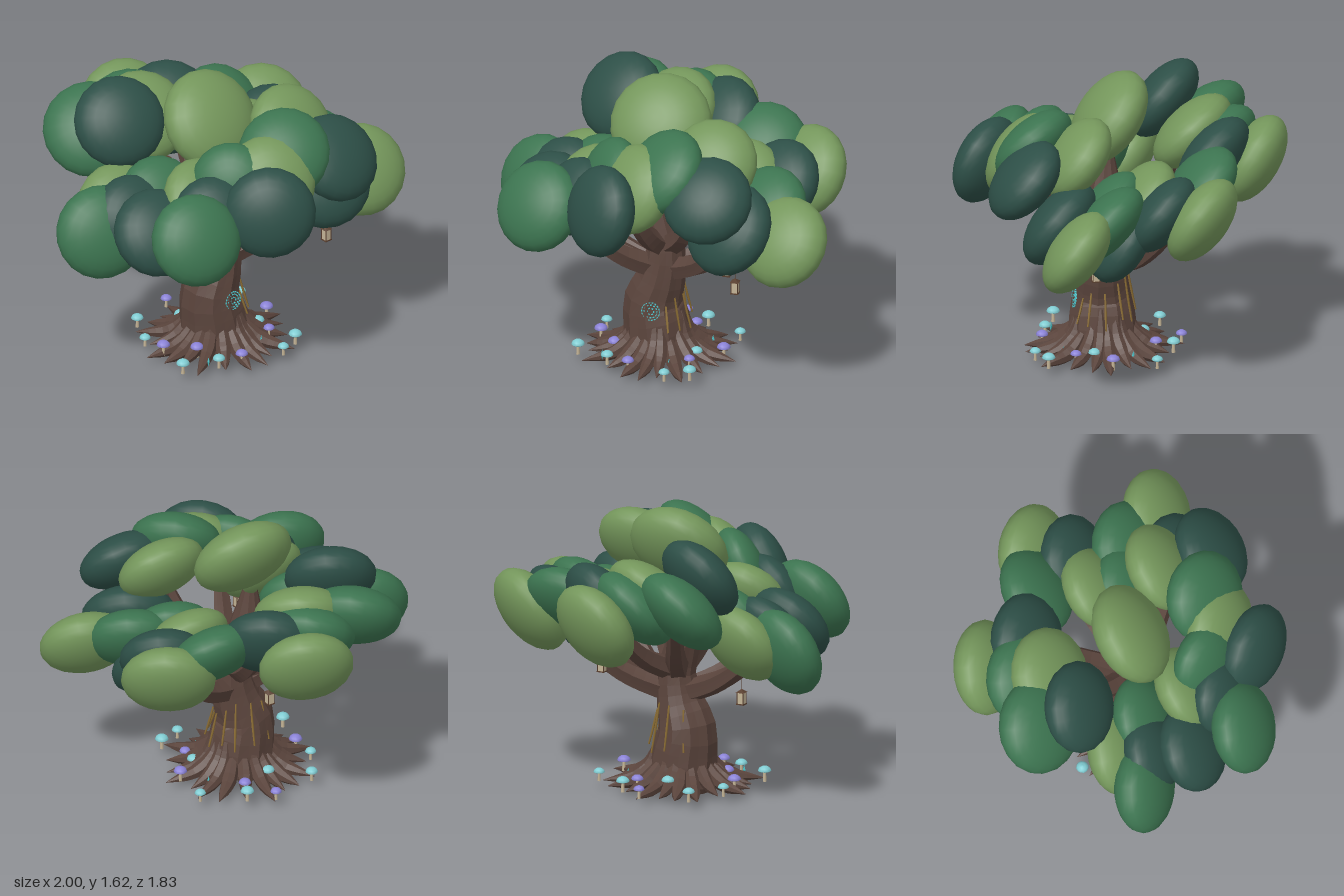
import * as THREE from 'three';

const paint = (name, color, extra = {}) => Object.assign(new THREE.MeshStandardMaterial({ color, ...extra }), { name });
const V = (x, y, z) => new THREE.Vector3(x, y, z);

export function createModel() {
  const mats = {
    bark: paint('bark', 0x5a443c, { flatShading: true }),
    dark: paint('dark leaf', 0x2d4f47),
    mid: paint('mid leaf', 0x3c7450),
    light: paint('light leaf', 0x74965b),
    cyan: paint('cyan cap', 0x80ccd2),
    violet: paint('violet cap', 0x8a82d6),
    cream: paint('cream', 0xc4b496),
    frame: paint('lantern frame', 0x5a4030),
    vine: paint('golden vine', 0x8a6c34),
    rune: paint('rune glow', 0x4cc0c6),
  };
  const tree = new THREE.Group();
  tree.name = 'tree';
  const group = (name, parent = tree) => {
    const g = new THREE.Group();
    g.name = name;
    parent.add(g);
    return g;
  };
  const add = (parent, name, geo, mat, x = 0, y = 0, z = 0) => {
    const m = new THREE.Mesh(geo, mat);
    m.name = name;
    m.position.set(x, y, z);
    parent.add(m);
    return m;
  };

  // Tapered tube: radii are spread evenly along the path, ribs groove the bark
  const limb = (points, radii, segs, sides, ribs = 0, depth = 0.14) => {
    const curve = new THREE.CatmullRomCurve3(points);
    const geo = new THREE.TubeGeometry(curve, segs, 1, sides);
    const pos = geo.attributes.position;
    const p = V(0, 0, 0);
    for (let i = 0; i <= segs; i++) {
      const c = curve.getPointAt(i / segs);
      const f = (i / segs) * (radii.length - 1);
      const k = Math.min(Math.floor(f), radii.length - 2);
      const r = THREE.MathUtils.lerp(radii[k], radii[k + 1], f - k);
      for (let j = 0; j <= sides; j++) {
        const n = i * (sides + 1) + j;
        const rib = ribs ? 1 + depth * Math.cos((ribs * j / sides) * Math.PI * 2) : 1;
        p.fromBufferAttribute(pos, n).sub(c).multiplyScalar(r * rib).add(c);
        pos.setXYZ(n, p.x, p.y, p.z);
      }
    }
    geo.computeVertexNormals();
    return geo;
  };

  // Trunk with a bulge low down and a leaning top
  const rings = [
    [-0.05, 0.05, 0.09, 0.19], [-0.06, 0.19, 0.09, 0.18], [-0.08, 0.34, 0.09, 0.155], [-0.03, 0.5, 0.1, 0.123],
    [-0.01, 0.65, 0.1, 0.1], [-0.05, 0.81, 0.09, 0.09], [-0.09, 0.98, 0.07, 0.08], [-0.1, 1.15, 0.06, 0.04]];
  add(tree, 'trunk', limb(rings.map(r => V(r[0], r[1], r[2])), rings.map(r => r[3]), 18, 20, 10, 0.03), mats.bark);
  const base = add(tree, 'trunkBase', new THREE.CylinderGeometry(0.19, 0.18, 0.04, 20), mats.bark, -0.04, 0.05, 0.09);
  base.rotation.z = 0.16;

  // Roots sweeping out of the trunk to pointed tips
  const roots = group('roots');
  const rootCount = 21;
  for (let i = 0; i < rootCount; i++) {
    const a = (i / rootCount) * Math.PI * 2 + 0.06 * Math.sin(i * 5);
    const len = 0.41 + 0.04 * Math.sin(i * 2.4 + 1);
    const top = 0.25 + 0.06 * Math.sin(i * 1.7);
    const at = (r, y, turn = 0) => V(-0.045 + r * Math.cos(a + turn), y, 0.095 + r * Math.sin(a + turn));
    add(roots, 'root', limb([at(0.13, top), at(0.165, 0.15), at(0.25, 0.075, 0.03), at(len, 0.042, 0.07)],
      [0.012, 0.036, 0.042, 0.03, 0.001], 10, 7), mats.bark);
  }

  // Grooved branches arching out to the leaf masses
  const branches = group('branches');
  for (const [x, y, z] of [[-0.28, 1.15, -0.42], [0.14, 1.12, -0.46], [0.55, 0.98, -0.22], [0.55, 0.92, 0.18], [0.46, 0.92, 0.36],
    [0.26, 1.18, 0.36], [-0.14, 1.12, 0.46], [-0.5, 0.98, 0.42], [-0.6, 0.93, 0.2], [-0.62, 0.94, 0.0]]) {
    const low = y > 1.1 ? 0.66 : 0.53;
    add(branches, 'branch', limb([V(-0.02, low, 0.1), V(x * 0.45, low + (y - low) * 0.26, 0.1 + (z - 0.1) * 0.42),
      V(x * 0.8, low + (y - low) * 0.66, 0.1 + (z - 0.1) * 0.78), V(x, y, z)],
    [0.062, 0.052, 0.04, 0.022], 12, 15, 5), mats.bark);
  }

  // Leaf masses: flattened ellipsoids given as centre and half extents.
  // All share a lean, so the short axis follows from the extents.
  const leaves = {
    light: [
      [0.03, 1.11, -0.735, 0.25, 0.24, 0.19], [-0.13, 1.23, -0.42, 0.25, 0.21, 0.22], [0.66, 1.02, -0.33, 0.24, 0.235, 0.205],
      [0.37, 1.05, -0.05, 0.24, 0.2, 0.18], [0.75, 0.915, 0.38, 0.25, 0.225, 0.195], [-0.05, 1.375, 0.055, 0.305, 0.235, 0.19],
      [0.32, 1.295, 0.3, 0.25, 0.21, 0.185], [-0.05, 1.2, 0.55, 0.23, 0.23, 0.2], [-0.32, 1.08, 0.31, 0.24, 0.2, 0.18],
      [-0.54, 0.94, -0.12, 0.24, 0.22, 0.185]],
    mid: [
      [-0.39, 1.2, -0.53, 0.25, 0.22, 0.235], [-0.1, 1.18, -0.54, 0.24, 0.21, 0.23], [0.4, 1.12, -0.37, 0.25, 0.2, 0.195],
      [0.58, 1.0, 0.18, 0.24, 0.21, 0.205], [0.1, 1.3, 0.5, 0.23, 0.21, 0.22], [-0.22, 1.2, 0.43, 0.18, 0.21, 0.19],
      [-0.59, 1.03, 0.56, 0.245, 0.23, 0.185], [-0.755, 0.9, -0.03, 0.245, 0.245, 0.18], [-0.4, 1.02, 0.04, 0.22, 0.2, 0.17],
      [0.36, 1.02, 0.13, 0.22, 0.19, 0.18]],
    dark: [
      [-0.385, 1.335, -0.31, 0.24, 0.22, 0.2], [0.12, 1.17, -0.49, 0.24, 0.23, 0.21], [0.57, 1.03, -0.13, 0.23, 0.21, 0.19],
      [0.5, 0.86, 0.09, 0.24, 0.215, 0.17], [0.45, 0.97, 0.42, 0.25, 0.23, 0.21], [0.38, 1.21, 0.6, 0.25, 0.205, 0.195],
      [-0.19, 1.12, 0.71, 0.215, 0.245, 0.2], [-0.4, 1.08, 0.48, 0.2, 0.2, 0.17], [-0.62, 0.97, 0.27, 0.24, 0.21, 0.19],
      [-0.6, 0.98, 0.05, 0.22, 0.2, 0.165]],
  };
  const foliage = group('foliage');
  const ball = new THREE.SphereGeometry(1, 20, 14);
  const flatness = 0.55;
  for (const [tone, list] of Object.entries(leaves)) {
    for (const [x, y, z, hx, hy, hz] of list) {
      const R2 = (hx * hx + hy * hy + hz * hz) / (2 + flatness * flatness);
      const part = h => Math.sqrt(Math.max(R2 - h * h, 0));
      const axis = V(-part(hx), part(hy), part(hz)).normalize();
      const R = Math.sqrt(R2);
      const mass = add(foliage, tone + 'LeafMass', ball, mats[tone], x, y, z);
      mass.quaternion.setFromUnitVectors(V(0, 1, 0), axis);
      mass.scale.set(R, R * flatness, R);
    }
  }

  // Hanging lanterns
  for (const [x, y, z] of [[-0.525, 0.625, -0.1], [0.37, 0.625, 0.205], [0.48, 0.625, 0.41], [-0.265, 0.82, 0.455], [0.12, 0.82, -0.5]]) {
    const lantern = group('lantern');
    lantern.position.set(x, y, z);
    add(lantern, 'glass', new THREE.BoxGeometry(0.036, 0.062, 0.036), mats.cream);
    add(lantern, 'floor', new THREE.BoxGeometry(0.044, 0.006, 0.044), mats.frame, 0, -0.034, 0);
    add(lantern, 'roof', new THREE.ConeGeometry(0.034, 0.02, 4).rotateY(Math.PI / 4), mats.frame, 0, 0.041, 0);
    add(lantern, 'cord', new THREE.CylinderGeometry(0.002, 0.002, 0.14, 5), mats.frame, 0, 0.11, 0);
    for (const sx of [-1, 1]) for (const sz of [-1, 1])
      add(lantern, 'post', new THREE.BoxGeometry(0.004, 0.064, 0.004), mats.frame, sx * 0.018, 0, sz * 0.018);
  }

  // Mushrooms ringed around the roots
  const caps = {
    cyan: [[-0.45, 0.29], [-0.26, 0.37], [0.1, 0.49], [0.23, 0.44], [0.19, 0.18], [0.34, -0.14], [0.12, -0.27],
      [-0.29, -0.27], [-0.4, -0.08], [-0.09, -0.14]],
    violet: [[-0.39, 0.06], [-0.13, 0.41], [0.18, 0.28], [0.32, 0.1], [0.08, -0.18], [-0.02, -0.34], [-0.27, 0.2]],
  };
  const capShape = new THREE.LatheGeometry([[0, -0.002], [0.03, -0.004], [0.035, 0], [0.029, 0.013], [0.016, 0.022], [0, 0.025]]
    .map(p => new THREE.Vector2(...p)), 12);
  const stemShape = new THREE.CylinderGeometry(0.007, 0.01, 0.06, 7);
  for (const [tone, spots] of Object.entries(caps)) {
    spots.forEach(([x, z], i) => {
      const mushroom = group('mushroom');
      mushroom.position.set(x, 0.045, z);
      mushroom.scale.setScalar(0.98 + 0.1 * Math.sin(i * 2.1 + 1));
      add(mushroom, 'stem', stemShape, mats.cream, 0, 0.03, 0);
      add(mushroom, 'cap', capShape, mats[tone], 0, 0.058, 0);
    });
  }

  // Golden vines hanging down the trunk
  const vines = group('vines');
  for (const [a, y0, y1] of [[0.05, 0.2, 0.4], [0.6, 0.22, 0.4], [1.0, 0.22, 0.36], [-0.9, 0.22, 0.5], [-0.5, 0.25, 0.45],
    [-1.5, 0.25, 0.5], [-2.1, 0.25, 0.48]]) {
    const at = (y, r) => V(-0.05 + r * Math.cos(a), y, 0.095 + r * Math.sin(a));
    add(vines, 'vine', limb([at(y0, 0.185), at((y0 + y1) / 2, 0.16), at(y1, 0.138)], [0.005, 0.007, 0.005], 6, 5), mats.vine);
  }

  // Dotted rune circle on the trunk front
  const rune = group('runeCircle');
  rune.position.set(-0.05, 0.335, 0.248);
  rune.rotation.x = -0.12;
  for (const [r, n] of [[0.05, 18], [0.036, 12], [0.018, 6]]) {
    for (let i = 0; i < n; i++) {
      const a = (i / n) * Math.PI * 2;
      const dash = add(rune, 'runeDash', new THREE.BoxGeometry(0.005, 0.01, 0.008), mats.rune, r * Math.cos(a), r * Math.sin(a), 0);
      dash.rotation.z = a;
    }
  }

  // Small crystals among the roots
  for (const [x, z] of [[0.08, 0.33], [-0.3, 0.33], [0.22, -0.03]])
    add(tree, 'crystal', new THREE.OctahedronGeometry(0.012).scale(0.7, 2.4, 0.7), mats.rune, x, 0.08, z);
  return tree;
}
